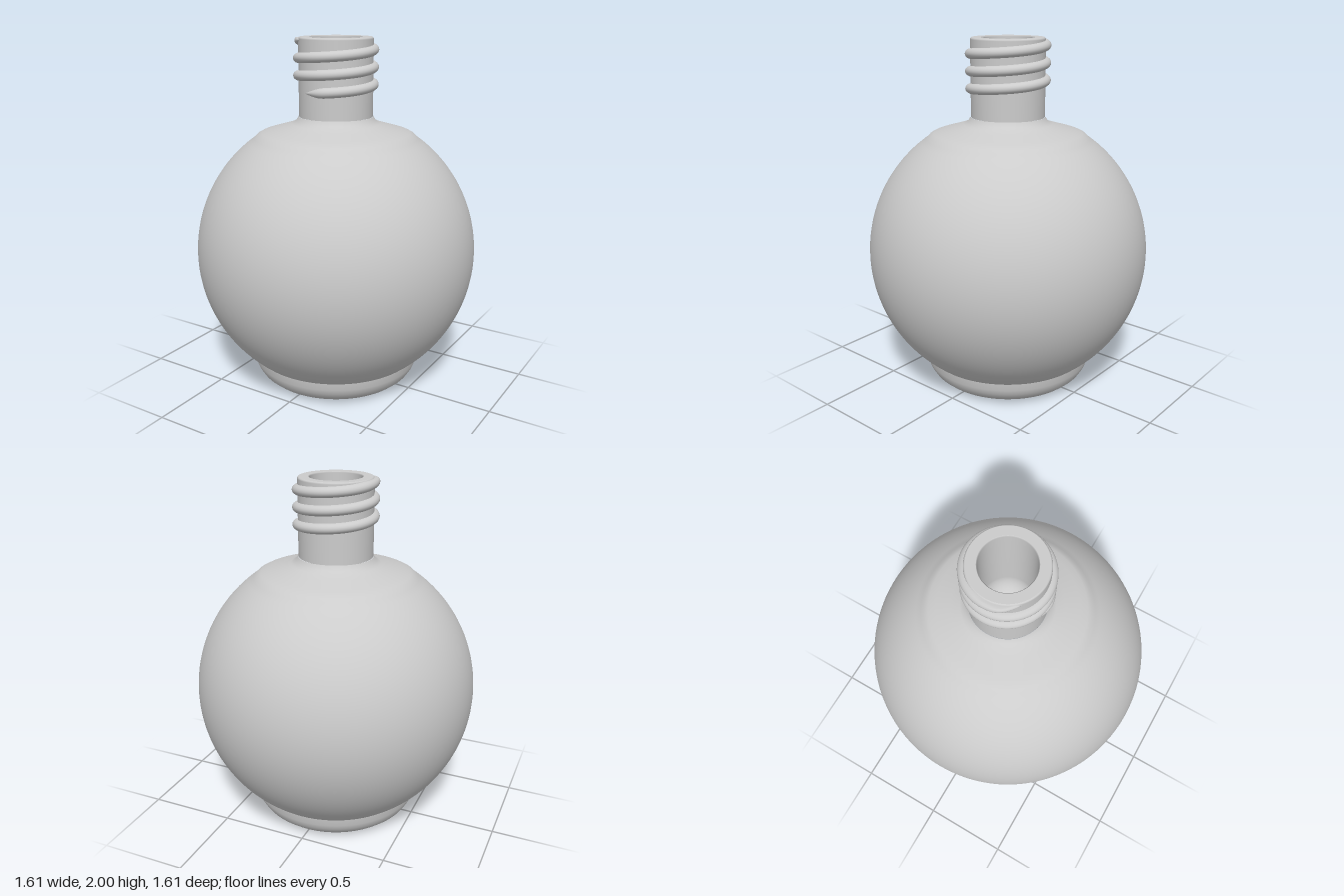
import * as THREE from 'three';

const material = new THREE.MeshStandardMaterial({ color: 0xcccccc });
const SEGMENTS = 96;

// Surface of revolution from [radius, height] pairs, running up the outside
function lathe(name, profile) {
  const points = profile.map(([r, y]) => new THREE.Vector2(r, y));
  const mesh = new THREE.Mesh(new THREE.LatheGeometry(points, SEGMENTS), material);
  mesh.name = name;
  return mesh;
}

// Points along a circular arc centred on [r, y]
function arc(r, y, radius, from, to, steps) {
  return Array.from({ length: steps + 1 }, (_, i) => {
    const a = from + ((to - from) * i) / steps;
    return [Math.max(0, r + radius * Math.cos(a)), y + radius * Math.sin(a)];
  });
}

// Helical ridge around the neck, a strip bent into shape and tapered at both ends
function createThread() {
  const turns = 3, start = -0.55, pitch = 0.095, taper = 0.8;
  const geometry = new THREE.PlaneGeometry(1, 1, 240, 10);
  const pos = geometry.attributes.position;
  const sweep = turns * Math.PI * 2;
  for (let i = 0; i < pos.count; i++) {
    const along = (pos.getX(i) + 0.5) * sweep;
    const across = pos.getY(i) * Math.PI;
    const size = THREE.MathUtils.smoothstep(Math.min(along, sweep - along), 0, taper);
    const angle = start + along;
    const r = 0.203 + 0.035 * size * Math.cos(across);
    const y = 1.711 + (pitch * angle) / (Math.PI * 2) + 0.029 * size * Math.sin(across);
    pos.setXYZ(i, r * Math.sin(angle), Math.min(y, 1.995), r * Math.cos(angle));
  }
  geometry.computeVertexNormals();
  const mesh = new THREE.Mesh(geometry, material);
  mesh.name = 'screwThread';
  return mesh;
}

export function createModel() {
  const group = new THREE.Group();
  group.name = 'bottle';

  // Flat underside
  group.add(lathe('underside', [[0, 0], [0.37, 0]]));

  // Foot with a rounded lower edge
  group.add(lathe('foot', [
    [0.37, 0], [0.4, 0.006], [0.43, 0.02], [0.46, 0.046],
    [0.48, 0.078], [0.49, 0.108], [0.495, 0.15],
  ]));

  // Round body, softened into a sloping shoulder
  const bodyRadius = 0.805, bodyY = 0.785;
  group.add(lathe('body', [
    [0.495, 0.15],
    ...arc(0, bodyY, bodyRadius, -0.89, 0.96, 40),
    [0.445, 1.462], [0.42, 1.475], [0.38, 1.487], [0.3, 1.51],
    [0.25, 1.526], [0.225, 1.54], [0.21, 1.565],
  ]));

  // Neck wall, rim and rounded blind bore
  group.add(lathe('neck', [[0.208, 1.565], [0.208, 1.99], [0.205, 1.997], [0.2, 2]]));
  group.add(lathe('rim', [[0.2, 2], [0.148, 2]]));
  group.add(lathe('bore', [
    [0.148, 2], [0.143, 1.994],
    ...arc(0, 1.55, 0.143, 0, -Math.PI / 2, 12),
  ]));

  group.add(createThread());
  return group;
}
